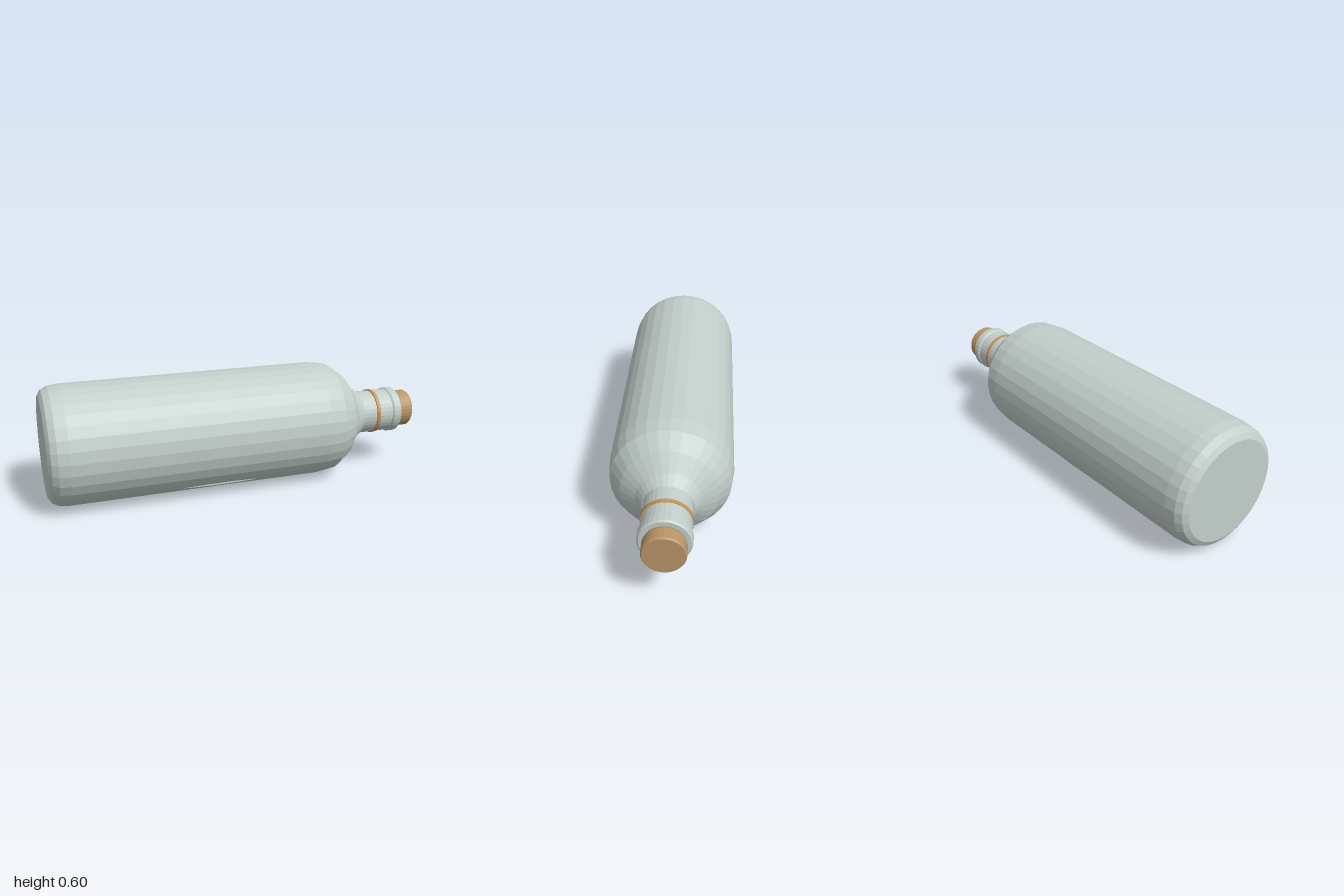
import * as THREE from 'three';

const AXIS_Y = 0.3;
const SIDES = 32;

const glass = new THREE.MeshStandardMaterial({ color: 0xc3cfcb });
glass.name = 'pale glass';
const cork = new THREE.MeshStandardMaterial({ color: 0xba9568 });
cork.name = 'cork';
const cord = new THREE.MeshStandardMaterial({ color: 0xc3965c });
cord.name = 'tan band';

function faceted(geometry) {
  const flat = geometry.toNonIndexed();
  flat.computeVertexNormals();
  return flat;
}

// Revolves [x, radius] pairs around the bottle's lengthwise axis.
function turned(name, profile, material) {
  const points = profile.map(([x, r]) => new THREE.Vector2(r, x));
  const geometry = new THREE.LatheGeometry(points, SIDES);
  geometry.rotateZ(-Math.PI / 2);
  const mesh = new THREE.Mesh(faceted(geometry), material);
  mesh.name = name;
  mesh.position.y = AXIS_Y;
  return mesh;
}

export function createModel() {
  const model = new THREE.Group();
  model.name = 'corkedBottle';

  // Body with a rounded base and sloping shoulder
  model.add(turned('bottleBody', [
    [-1, 0], [-1, 0.25], [-0.985, 0.276], [-0.955, 0.293], [-0.9, 0.3],
    [0.41, 0.3], [0.5, 0.288], [0.58, 0.232], [0.64, 0.155], [0.69, 0.12],
  ], glass));

  // Neck and rolled lip
  model.add(turned('neck', [[0.68, 0.115], [0.88, 0.115]], glass));
  model.add(turned('lip', [
    [0.865, 0.114], [0.875, 0.122], [0.912, 0.122], [0.92, 0.115], [0.92, 0],
  ], glass));

  // Band around the neck
  model.add(turned('neckBand', [
    [0.77, 0.113], [0.772, 0.12], [0.79, 0.12], [0.792, 0.113],
  ], cord));

  // Stopper
  model.add(turned('stopper', [
    [0.9, 0.09], [0.92, 0.093], [0.935, 0.099], [0.992, 0.099], [1, 0.094], [1, 0],
  ], cork));

  // Oval slab inside, its edges just breaking through the lower sides
  const slab = new THREE.Mesh(
    faceted(new THREE.CylinderGeometry(1, 1, 0.022, 48).scale(0.6, 1, 0.192)), glass);
  slab.name = 'innerSlab';
  slab.position.set(-0.15, 0.073, 0);
  model.add(slab);

  return model;
}
